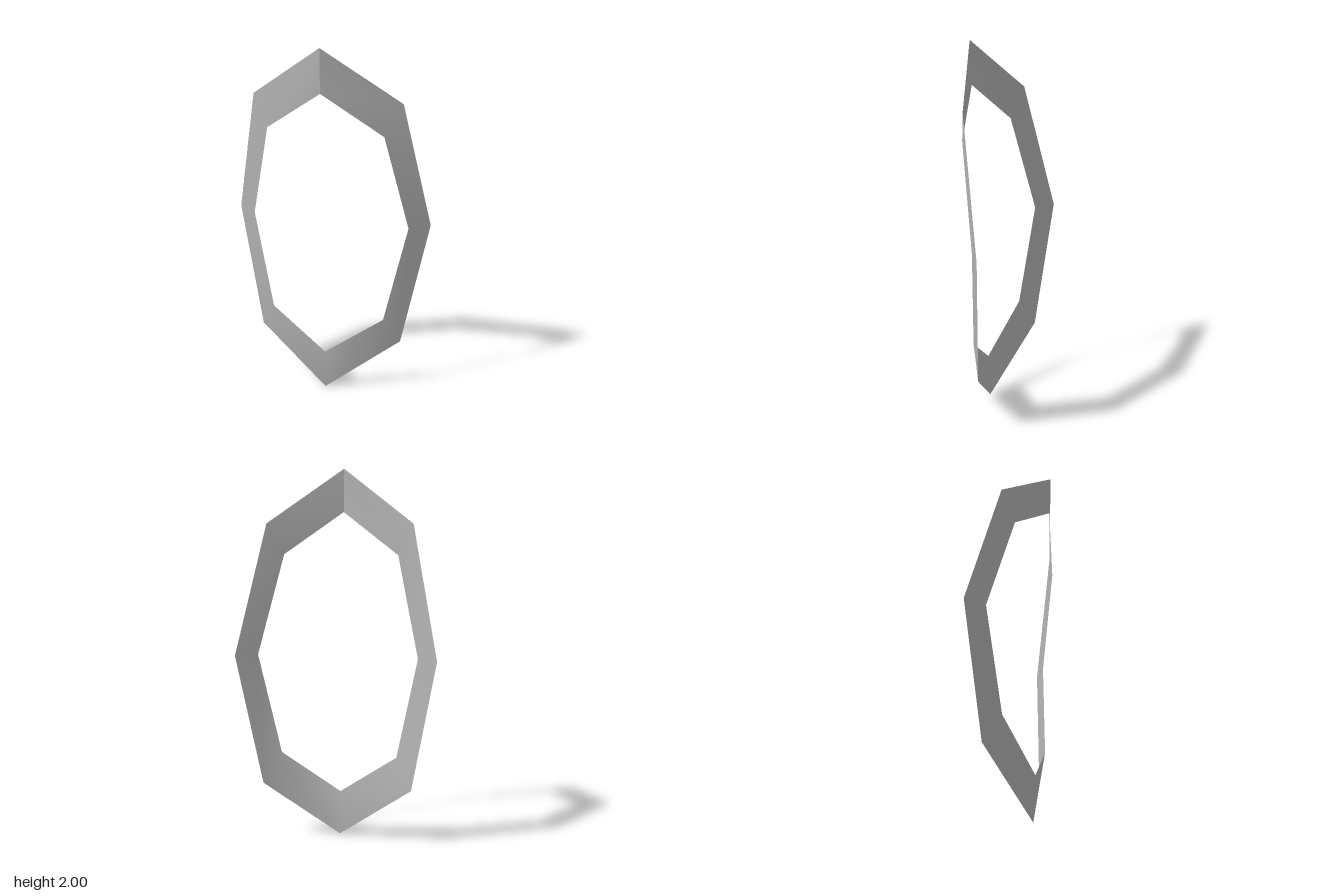
import * as THREE from 'three';

// Cross-sections of the left half, top to bottom: [outer corner, inner corner]
const HALF = [
  [[0, 2, 0.14], [0, 1.77, 0.13]],
  [[0.395, 1.71, -0.005], [0.31, 1.545, 0.04]],
  [[0.54, 1.01, -0.14], [0.433, 1.01, -0.065]],
  [[0.407, 0.3, -0.083], [0.318, 0.462, -0.017]],
  [[0, 0, 0.028], [0, 0.24, 0.04]],
];

export function createModel() {
  const frameGrey = new THREE.MeshStandardMaterial({ color: 0xb4b4b4, side: THREE.DoubleSide });
  frameGrey.name = 'frameGrey';

  // Down the left side, then mirrored back up the right; the seam stays open at the top
  const mirror = ([x, y, z]) => [-x, y, z];
  const sections = [...HALF, ...HALF.slice(0, -1).reverse().map((s) => s.map(mirror))];

  // Smooth-shaded band between the outer and inner edges
  const index = [];
  for (let i = 0; i < sections.length - 1; i++) {
    const o = i * 2;
    index.push(o, o + 1, o + 2, o + 2, o + 1, o + 3);
  }
  const geometry = new THREE.BufferGeometry();
  geometry.setAttribute('position', new THREE.Float32BufferAttribute(sections.flat(2), 3));
  geometry.setIndex(index);
  geometry.computeVertexNormals();

  const frame = new THREE.Mesh(geometry, frameGrey);
  frame.name = 'curvedFrame';
  const model = new THREE.Group();
  model.name = 'foldedOvalFrame';
  model.add(frame);
  return model;
}
